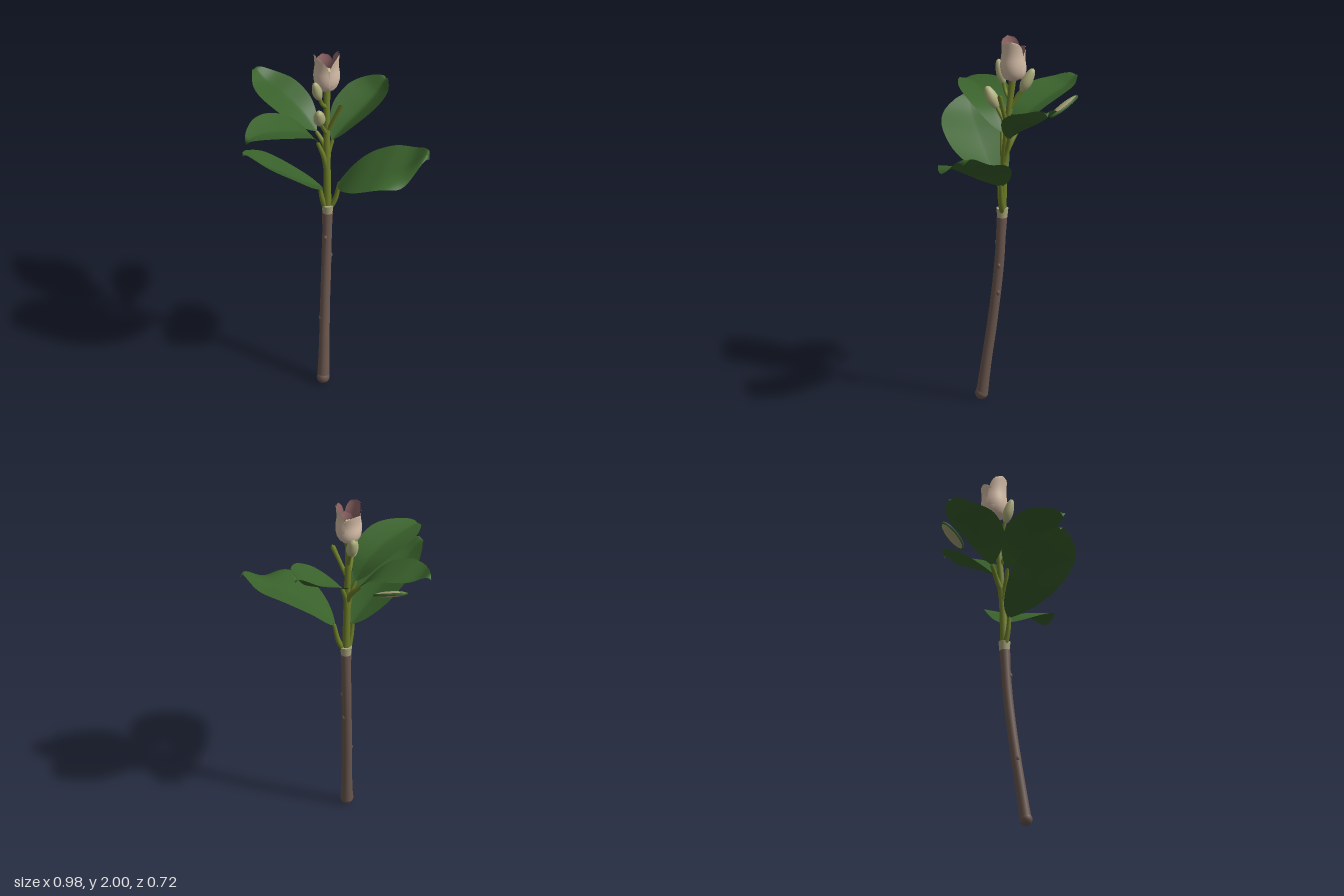
import * as THREE from 'three';

const V = (a) => new THREE.Vector3(...a);
const paint = (name, color) => {
  const m = new THREE.MeshStandardMaterial({ color });
  m.name = name;
  return m;
};
// Piecewise linear lookup over evenly spaced values, t in 0..1
const lookup = (list, t) => {
  const s = t * (list.length - 1), k = Math.min(Math.floor(s), list.length - 2);
  return THREE.MathUtils.lerp(list[k], list[k + 1], s - k);
};

export function createModel() {
  const root = new THREE.Group();
  root.name = 'floweringBranch';

  const bark = paint('bark brown', 0x6c5850);
  const shoot = paint('shoot green', 0x6d7d28);
  const collarMat = paint('collar beige', 0xaaa57d);
  const leafMat = paint('leaf green', 0x39612b);
  leafMat.side = THREE.DoubleSide;
  const budMat = paint('bud green', 0xaeae7e);
  const petalOuter = paint('petal cream', 0xd3bba6);
  const petalInner = paint('petal mauve', 0x94696a);
  const stamenMat = paint('stamen yellow', 0xc6c08c);

  const add = (name, geo, mat, parent = root) => {
    const m = new THREE.Mesh(geo, mat);
    m.name = name;
    parent.add(m);
    return m;
  };

  // Grid surface: f(u, v) returns a point, u and v run 0..1
  const grid = (nu, nv, f, flip = false) => {
    const pos = [], idx = [];
    for (let i = 0; i <= nu; i++)
      for (let j = 0; j <= nv; j++) pos.push(...f(i / nu, j / nv).toArray());
    for (let i = 0; i < nu; i++)
      for (let j = 0; j < nv; j++) {
        const a = i * (nv + 1) + j, b = a + 1, c = a + nv + 1, d = c + 1;
        if (flip) idx.push(a, c, b, b, c, d);
        else idx.push(a, b, c, b, d, c);
      }
    const g = new THREE.BufferGeometry();
    g.setAttribute('position', new THREE.Float32BufferAttribute(pos, 3));
    g.setIndex(idx);
    g.computeVertexNormals();
    return g;
  };

  // Tube with a changing radius and closed ends
  const taper = (name, pts, radii, mat, segs = 14, sides = 14) => {
    const curve = new THREE.CatmullRomCurve3(pts.map(V));
    const g = new THREE.TubeGeometry(curve, segs, 1, sides);
    const p = g.attributes.position, q = new THREE.Vector3();
    for (let i = 0; i <= segs; i++) {
      const c = curve.getPointAt(i / segs);
      const r = i === 0 || i === segs ? 0 : lookup(radii, i / segs);
      for (let j = 0; j <= sides; j++) {
        const n = i * (sides + 1) + j;
        q.fromBufferAttribute(p, n).sub(c).multiplyScalar(r).add(c);
        p.setXYZ(n, q.x, q.y, q.z);
      }
    }
    return add(name, g, mat);
  };

  // Woody stem with a rounded foot and small knots
  taper('woodyStem',
    [[-0.07, 0.012, 0.127], [-0.066, 0.2, 0.102], [-0.062, 0.45, 0.066], [-0.055, 0.75, 0.032], [-0.05, 1.03, 0.015]],
    [0.033, 0.029, 0.027, 0.027, 0.026, 0.026, 0.026, 0.025, 0.029], bark, 60, 18);
  const foot = add('stemFoot', new THREE.SphereGeometry(0.034, 18, 12), bark);
  foot.position.set(-0.07, 0.036, 0.126);
  foot.scale.y = 1.06;
  for (const [x, y, z] of [[-0.085, 0.38, 0.08], [-0.04, 0.6, 0.035], [-0.033, 0.75, 0.03], [-0.06, 0.87, 0.045]]) {
    const knot = add('stemKnot', new THREE.SphereGeometry(0.01, 10, 8), bark);
    knot.position.set(x, y, z);
    knot.scale.y = 1.5;
  }

  // Pale collar where the green shoot starts
  const collar = add('collar', new THREE.CylinderGeometry(0.032, 0.027, 0.05, 18), collarMat);
  collar.position.set(-0.05, 1.04, 0.014);

  // Green shoot, leaf stalks and side twigs
  taper('greenShoot',
    [[-0.05, 1.03, 0.014], [-0.053, 1.3, 0.004], [-0.055, 1.55, -0.015], [-0.055, 1.8, -0.043]],
    [0.021, 0.02, 0.018, 0.016, 0.02], shoot, 30);
  const stalks = [
    [[-0.04, 1.04, 0.014], [-0.01, 1.1, 0.013], [0.015, 1.215, 0.014]],
    [[-0.062, 1.04, 0.016], [-0.08, 1.12, 0.03], [-0.09, 1.2, 0.036]],
    [[-0.055, 1.28, 0.005], [-0.07, 1.37, 0.015], [-0.105, 1.475, 0.023]],
    [[-0.05, 1.31, 0.0], [-0.045, 1.38, -0.01], [-0.022, 1.46, -0.027]],
    [[-0.055, 1.36, -0.002], [-0.07, 1.42, -0.03], [-0.115, 1.485, -0.064]],
  ];
  for (const s of stalks) taper('leafStalk', s, [0.016, 0.013, 0.01], shoot);
  taper('cutTwig', [[-0.05, 1.52, -0.01], [-0.015, 1.61, 0.005], [0.025, 1.71, 0.02]], [0.012, 0.011, 0.014], shoot);
  taper('budStalk', [[-0.055, 1.5, -0.01], [-0.075, 1.56, 0.02], [-0.09, 1.62, 0.055]], [0.012, 0.01, 0.01], shoot);
  taper('budStalk', [[-0.055, 1.66, -0.025], [-0.08, 1.7, 0], [-0.095, 1.76, 0.015]], [0.012, 0.01, 0.01], shoot);
  taper('budStalk', [[-0.055, 1.6, -0.02], [-0.058, 1.67, -0.06], [-0.06, 1.73, -0.1]], [0.012, 0.01, 0.01], shoot);

  // Leaves, folded up along the midrib: midrib points, then for each side
  // the half width, the edge lift and the droop of the edge near the tip
  const outline = new THREE.SplineCurve(
    [[0, 0], [0.06, 0.34], [0.15, 0.62], [0.3, 0.9], [0.45, 1], [0.6, 0.98], [0.75, 0.78], [0.88, 0.44], [0.95, 0.18], [1, 0]]
      .map((a) => new THREE.Vector2(...a)));
  const leaf = (name, pts, plus, minus) => {
    const rib = new THREE.CatmullRomCurve3(pts.map(V));
    const dir = V(pts[pts.length - 1]).sub(V(pts[0])).setY(0).normalize();
    const side = new THREE.Vector3(-dir.z, 0, dir.x);
    add(name, grid(40, 20, (u, v) => {
      const s = v * 2 - 1, a = Math.abs(s), o = outline.getPoint(u), w = Math.max(o.y, 0);
      const [width, lift, droop] = s > 0 ? plus : minus;
      const p = rib.getPointAt(THREE.MathUtils.clamp(o.x, 0, 1));
      p.addScaledVector(side, s * w * width);
      p.y += w * lift * Math.pow(a, 1.2) - droop * a * a * Math.exp(-(((o.x - 0.8) / 0.14) ** 2));
      return p;
    }, true), leafMat);
  };
  leaf('lowerRightLeaf',
    [[0.005, 1.2, 0.01], [0.11, 1.3, 0.06], [0.25, 1.375, 0.105], [0.38, 1.42, 0.135], [0.48, 1.49, 0.145], [0.49, 1.465, 0.15]],
    [0.215, -0.01, 0.055], [0.15, 0.035, 0]);
  leaf('lowerLeftLeaf',
    [[-0.08, 1.19, 0.03], [-0.19, 1.285, 0.11], [-0.31, 1.395, 0.18], [-0.41, 1.475, 0.225], [-0.485, 1.545, 0.25], [-0.49, 1.53, 0.252]],
    [0.145, 0.03, 0], [0.2, 0.06, 0]);
  leaf('upperLeftLeaf',
    [[-0.1, 1.465, 0.02], [-0.17, 1.56, 0.07], [-0.28, 1.62, 0.14], [-0.4, 1.645, 0.21], [-0.465, 1.64, 0.262], [-0.472, 1.615, 0.267]],
    [0.135, 0.035, 0], [0.13, 0.03, 0]);
  leaf('upperBackLeaf',
    [[-0.11, 1.48, -0.06], [-0.18, 1.56, -0.115], [-0.28, 1.615, -0.2], [-0.38, 1.65, -0.28], [-0.44, 1.69, -0.325], [-0.455, 1.675, -0.332]],
    [0.1, 0.03, 0], [0.155, 0.035, 0]);
  leaf('upperRightLeaf',
    [[-0.03, 1.45, -0.02], [0.04, 1.51, -0.08], [0.12, 1.565, -0.145], [0.2, 1.625, -0.215], [0.25, 1.69, -0.257], [0.258, 1.675, -0.262]],
    [0.13, 0.085, 0], [0.145, 0.055, 0]);

  // Pale oval disc with a green rim, under the back leaf
  const disc = new THREE.Group();
  disc.name = 'ovalDisc';
  const long = V([-0.16, 0.075, -0.12]).normalize();
  const across = new THREE.Vector3().crossVectors(V([0, 0.85, 0.53]), long).normalize();
  const up = new THREE.Vector3().crossVectors(long, across);
  disc.quaternion.setFromRotationMatrix(new THREE.Matrix4().makeBasis(long, across, up));
  disc.position.set(-0.245, 1.575, -0.288);
  root.add(disc);
  const pad = add('discPad', new THREE.SphereGeometry(1, 28, 14), collarMat, disc);
  pad.scale.set(0.103, 0.047, 0.016);
  const rim = add('discRim', new THREE.TorusGeometry(1, 0.06, 8, 36), leafMat, disc);
  rim.scale.set(0.1, 0.046, 0.12);

  // Closed buds
  const budProfile = [[0, 0], [0.5, 0.06], [0.88, 0.25], [1, 0.45], [0.85, 0.7], [0.5, 0.92], [0, 1]];
  const bud = (base, tip, r) => {
    const d = V(tip).sub(V(base)), len = d.length();
    const pts = new THREE.SplineCurve(budProfile.map(([x, y]) => new THREE.Vector2(x * r, y * len))).getPoints(18);
    pts.forEach((p) => { p.x = Math.max(p.x, 0); });
    const m = add('bud', new THREE.LatheGeometry(pts, 18), budMat);
    m.position.set(...base);
    m.quaternion.setFromUnitVectors(new THREE.Vector3(0, 1, 0), d.normalize());
  };
  bud([-0.09, 1.6, 0.045], [-0.093, 1.72, 0.105], 0.032);
  bud([-0.092, 1.735, 0.012], [-0.118, 1.865, 0.045], 0.027);
  bud([-0.06, 1.705, -0.085], [-0.066, 1.835, -0.15], 0.03);

  // Flower: curved petals, cream outside and mauve inside
  const flower = new THREE.Group();
  flower.name = 'flower';
  flower.position.set(-0.055, 1.765, -0.043);
  root.add(flower);
  const petalRadii = [0.012, 0.05, 0.062, 0.067, 0.068, 0.066, 0.063, 0.062, 0.063, 0.065, 0.067];
  const petal = (degrees, halfDegrees, height, scale) => {
    const shape = (inset) => (u, v) => {
      const w = u < 0.4 ? 1 : Math.sqrt(Math.max(0, 1 - Math.pow((u - 0.4) / 0.6, 3)));
      const a = THREE.MathUtils.degToRad(degrees + (v * 2 - 1) * halfDegrees * w);
      const r = lookup(petalRadii, u) * scale - inset;
      return new THREE.Vector3(Math.sin(a) * r, u * height, Math.cos(a) * r);
    };
    add('petalOutside', grid(20, 16, shape(0)), petalOuter, flower);
    add('petalInside', grid(20, 16, shape(0.005), true), petalInner, flower);
  };
  petal(85, 70, 0.235, 1.02);
  petal(304, 68, 0.235, 1.06);
  petal(15, 55, 0.155, 0.93);
  petal(205, 62, 0.19, 1.03);

  // Stamens: a core covered with rings of small knobs
  const core = add('stamenCore', new THREE.SphereGeometry(0.032, 16, 12), stamenMat, flower);
  core.position.y = 0.07;
  core.scale.y = 1.7;
  for (let ring = 0; ring < 3; ring++)
    for (let i = 0; i < 9 - ring * 2; i++) {
      const a = (i / (9 - ring * 2)) * Math.PI * 2 + ring * 0.4, r = 0.034 - ring * 0.011;
      const knob = add('stamen', new THREE.SphereGeometry(0.009, 8, 6), stamenMat, flower);
      knob.position.set(Math.sin(a) * r, 0.09 + ring * 0.016, Math.cos(a) * r);
    }
  return root;
}
